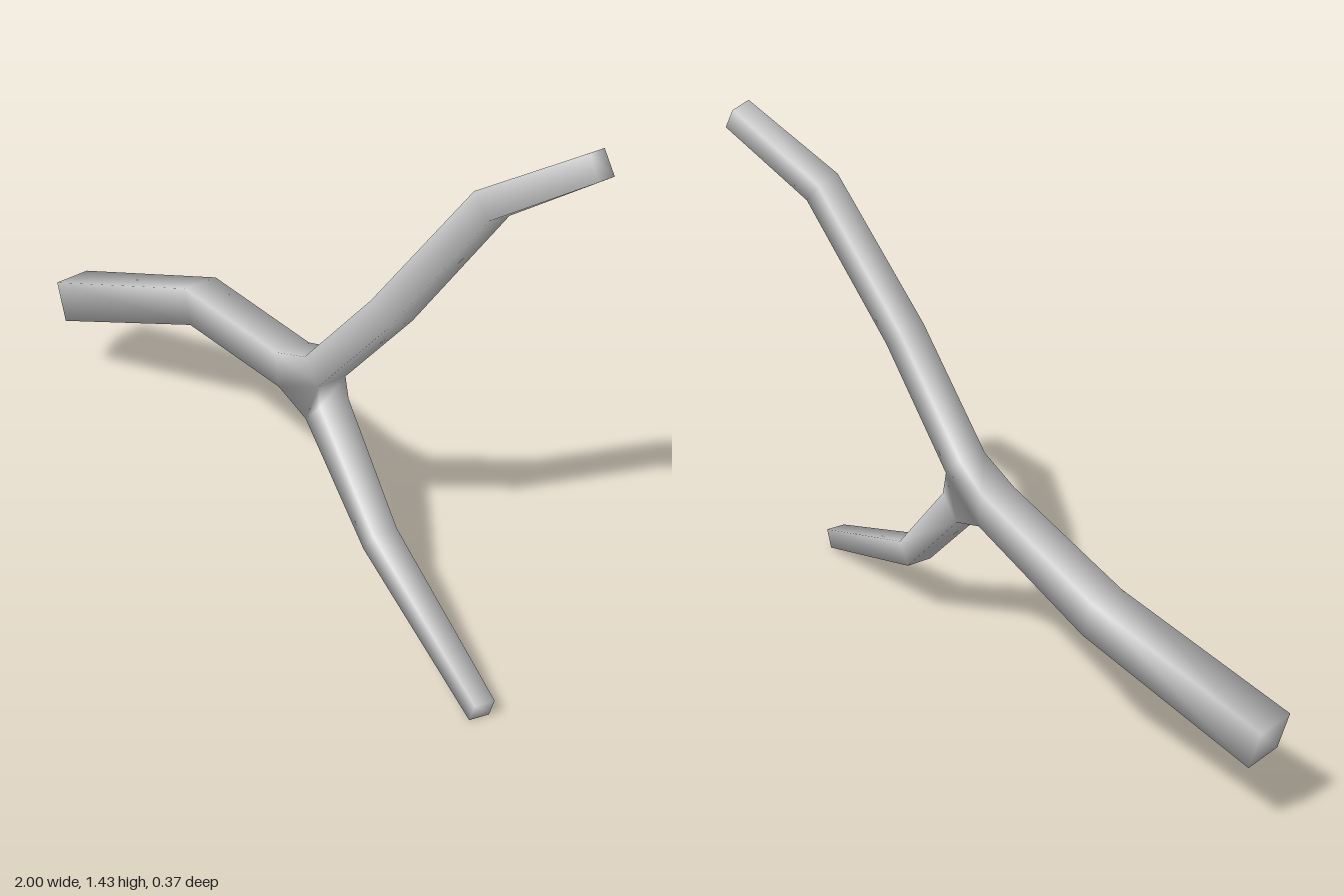
import * as THREE from 'three';

// Each limb runs outward from the fork: [x, y, z, half width]
const limbs = [
  { name: 'upperTwig', path: [[0.2, 0.577, 0.042, 0.042], [0.465, 0.862, 0.042, 0.041], [0.715, 1.23, -0.045, 0.039], [0.96, 1.396, -0.15, 0.034]] },
  { name: 'mainBranch', path: [[0.05, 0.507, 0.03, 0.049], [-0.475, 0.432, -0.045, 0.053], [-0.975, 0.258, 0.06, 0.058]] },
  { name: 'lowerTwig', path: [[0.21, 0.456, 0.042, 0.044], [0.47, 0.21, 0.068, 0.036], [0.985, 0.033, 0.156, 0.028]] },
];
const Z = new THREE.Vector3(0, 0, 1);

// Square rings along a path, with normals pointing out through the corners
function makeRings(path) {
  const pts = path.map(([x, y, z]) => new THREE.Vector3(x, y, z));
  const last = pts.length - 1;
  return pts.map((p, i) => {
    const t = new THREE.Vector3();
    if (i > 0) t.add(p.clone().sub(pts[i - 1]).normalize());
    if (i < last) t.add(pts[i + 1].clone().sub(p).normalize());
    t.normalize();
    const n = Z.clone().cross(t).normalize();
    const b = t.clone().cross(n);
    return [[1, 1], [-1, 1], [-1, -1], [1, -1]].map(([u, v]) => {
      const out = n.clone().multiplyScalar(u).addScaledVector(b, v);
      const normal = out.clone();
      if (i === last) normal.add(t);
      return { pos: p.clone().addScaledVector(out, path[i][3]), normal: normal.normalize() };
    });
  });
}

function makeMesh(name, corners, index, material) {
  const geo = new THREE.BufferGeometry();
  geo.setAttribute('position', new THREE.Float32BufferAttribute(corners.flatMap(c => c.pos.toArray()), 3));
  geo.setAttribute('normal', new THREE.Float32BufferAttribute(corners.flatMap(c => c.normal.toArray()), 3));
  geo.setIndex(index);
  const mesh = new THREE.Mesh(geo, material);
  mesh.name = name;
  return mesh;
}

export function createModel() {
  const group = new THREE.Group();
  group.name = 'forkedBranch';
  const bark = new THREE.MeshStandardMaterial({ color: 0xcccccc });
  bark.name = 'greyBark';

  // Limbs: joined square rings, closed at the tip
  const starts = limbs.map(({ name, path }) => {
    const rings = makeRings(path);
    const index = [];
    for (let r = 0; r < rings.length - 1; r++) {
      for (let i = 0; i < 4; i++) {
        const a = r * 4 + i, b = r * 4 + (i + 1) % 4;
        index.push(a, b, b + 4, a, b + 4, a + 4);
      }
    }
    const e = (rings.length - 1) * 4;
    index.push(e, e + 1, e + 2, e, e + 2, e + 3);
    group.add(makeMesh(name, rings.flat(), index, bark));
    return rings[0];
  });

  // Fork: hexagonal web between the three first rings (front 0-5, back 6-11)
  const front = starts.flatMap(r => [r[1], r[0]]);
  const back = starts.flatMap(r => [r[2], r[3]]);
  const index = [];
  for (let i = 1; i < 5; i++) index.push(0, i, i + 1, 6, 7 + i, 6 + i);
  for (const i of [1, 3, 5]) {
    const j = (i + 1) % 6;
    index.push(i, i + 6, j + 6, i, j + 6, j);
  }
  group.add(makeMesh('fork', [...front, ...back], index, bark));
  return group;
}
